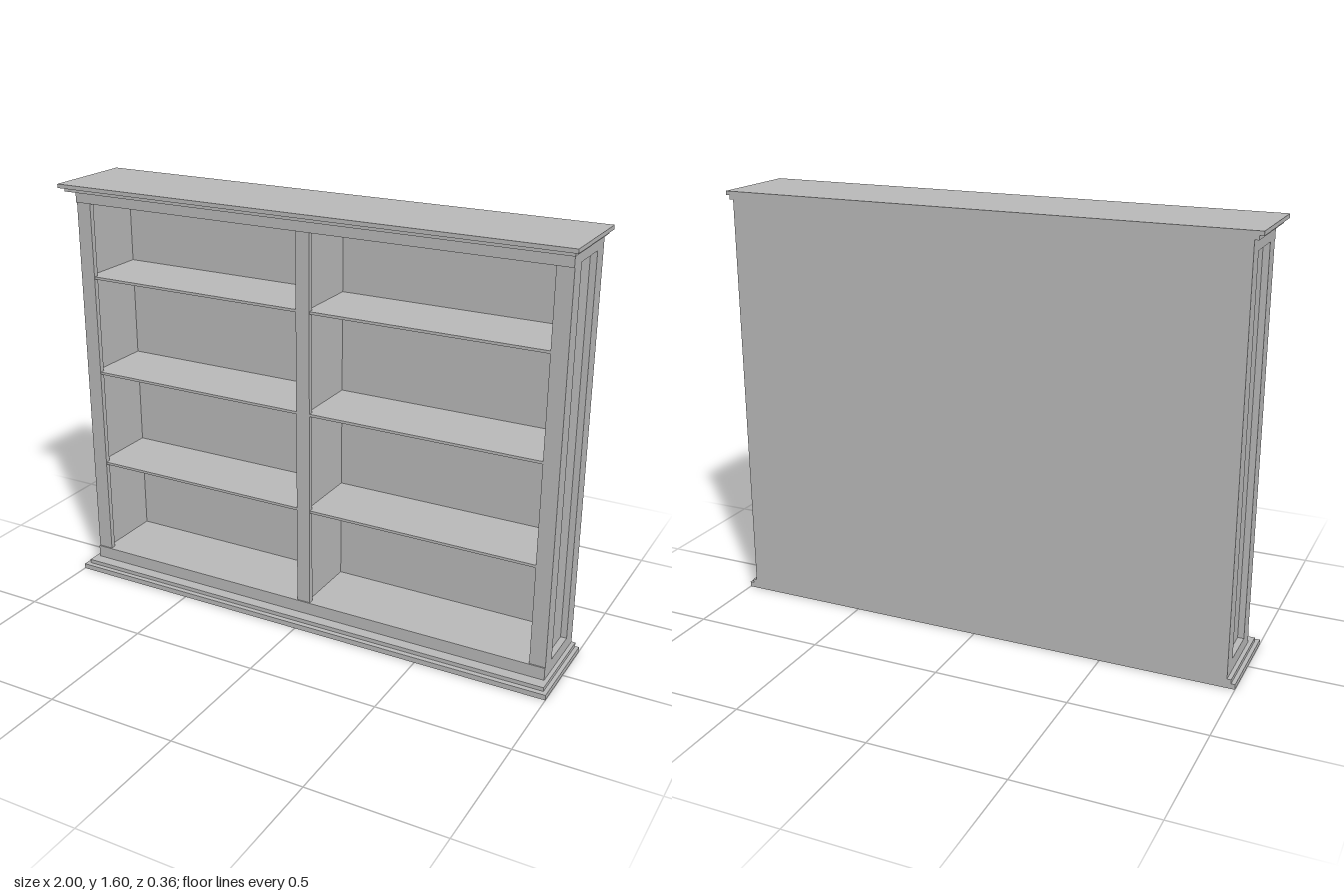
import * as THREE from 'three';

export function createModel() {
  const model = new THREE.Group();
  model.name = 'bookcase';
  const grey = new THREE.MeshStandardMaterial({ color: 0xb8b8b8 });
  grey.name = 'plain grey';

  // Box given by its limits on each axis
  const box = (name, x0, x1, y0, y1, z0, z1, parent = model) => {
    const mesh = new THREE.Mesh(new THREE.BoxGeometry(x1 - x0, y1 - y0, z1 - z0), grey);
    mesh.position.set((x0 + x1) / 2, (y0 + y1) / 2, (z0 + z1) / 2);
    mesh.name = name;
    parent.add(mesh);
  };

  const back = -0.18, front = 0.11, bottom = 0.035, top = 1.57;
  const railLow = 0.083, railHigh = 1.522;

  // Stepped plinth and cornice, flush at the back
  box('plinthLower', -1, 1, 0, 0.02, back, 0.18);
  box('plinthUpper', -0.985, 0.985, 0.02, bottom, back, 0.16);
  box('corniceLower', -0.985, 0.985, top, 1.585, back, 0.16);
  box('corniceUpper', -1, 1, 1.585, 1.6, back, 0.18);

  // Back board and centre divider
  box('backBoard', -0.97, 0.97, bottom, top, back, -0.17);
  box('divider', -0.012, 0.012, bottom, top, -0.17, 0.09);

  // Front face frame
  box('topRail', -0.97, 0.97, railHigh, top, 0.09, 0.115);
  box('bottomRail', -0.97, 0.97, bottom, railLow, 0.09, 0.115);
  box('centreStile', -0.027, 0.027, railLow, railHigh, 0.09, front);

  for (const side of [-1, 1]) {
    const half = new THREE.Group();
    half.name = side > 0 ? 'leftHalf' : 'rightHalf';
    model.add(half);
    // Box mirrored to the given side
    const sideBox = (name, a, b, ...rest) =>
      box(name, Math.min(side * a, side * b), Math.max(side * a, side * b), ...rest, half);

    // Front stile, recessed side panel and its surrounding frame
    sideBox('frontStile', 0.91, 0.97, railLow, railHigh, 0.09, front);
    sideBox('sidePanel', 0.935, 0.947, bottom, top, -0.17, 0.09);
    sideBox('sideFrontStile', 0.947, 0.97, bottom, top, 0.045, 0.09);
    sideBox('sideRearStile', 0.947, 0.97, bottom, top, -0.17, -0.115);
    sideBox('sideTopRail', 0.947, 0.97, 1.525, top, -0.115, 0.045);
    sideBox('sideBottomRail', 0.947, 0.97, bottom, 0.083, -0.115, 0.045);

    // Floor board and three shelves
    sideBox('floorBoard', 0.012, 0.935, 0.07, 0.081, -0.17, 0.09);
    for (const y of [0.465, 0.85, 1.235]) {
      sideBox('shelf', 0.012, 0.935, y - 0.005, y + 0.005, -0.17, 0.09);
      sideBox('shelfLip', 0.027, 0.91, y - 0.005, y + 0.005, 0.09, 0.108);
    }
  }
  return model;
}
